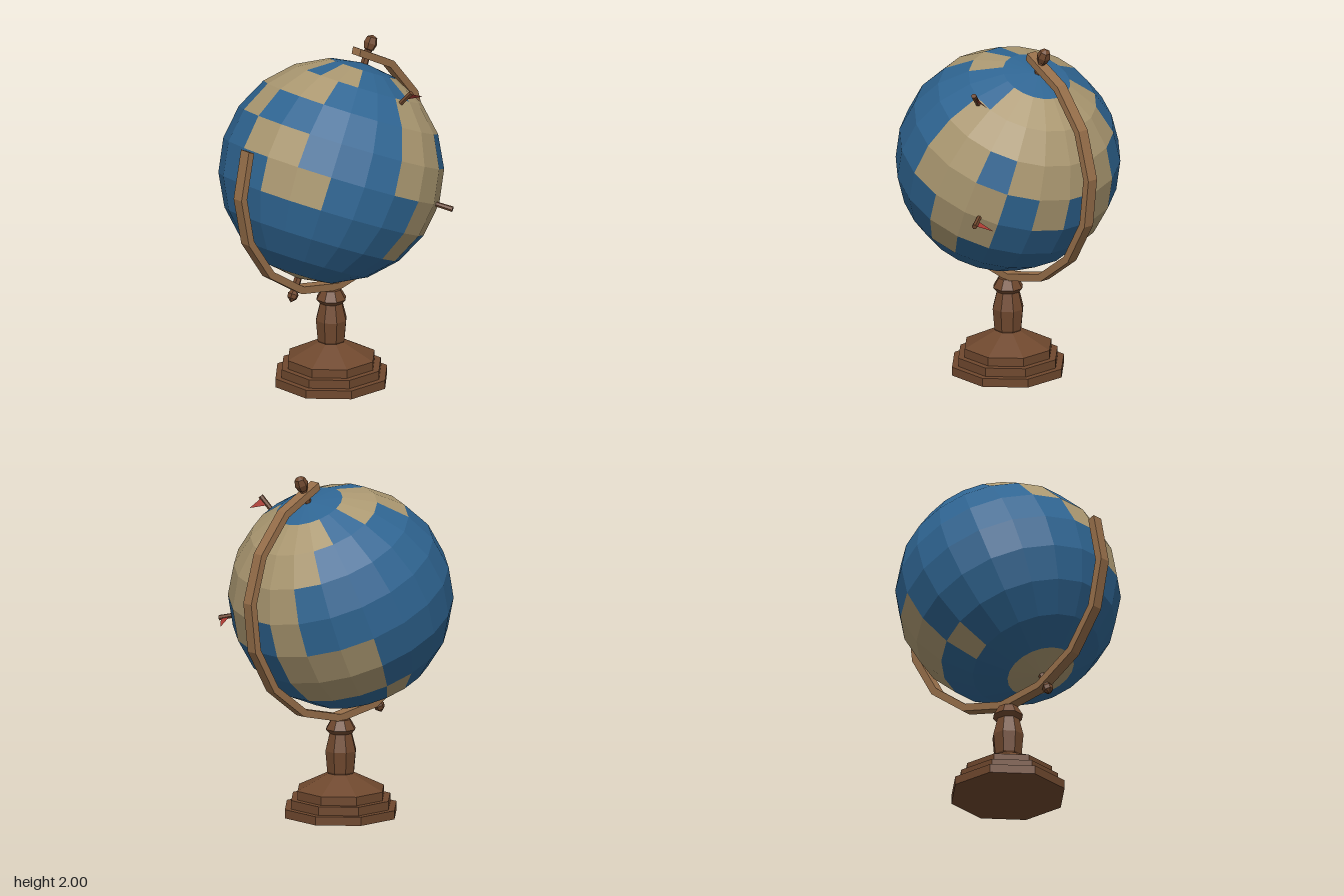
import * as THREE from 'three';

const mat = (name, color, side = THREE.FrontSide) => {
  const m = new THREE.MeshStandardMaterial({ color, side });
  m.name = name;
  return m;
};

// faceted normals
const flat = (geo) => {
  const g = geo.index ? geo.toNonIndexed() : geo;
  g.computeVertexNormals();
  return g;
};

const R = 0.638, CENTRE_Y = 1.26, TILT = THREE.MathUtils.degToRad(23.5);
const STEP = Math.PI / 10;

// land columns for each latitude band, north to south
const LAND = [
  [],
  [0, 1, 2, 3, 4, 8, 9, 11, 12, 13, 14, 17, 18, 19],
  [0, 1, 2, 3, 4, 5, 9, 10, 11, 12, 18, 19],
  [0, 1, 2, 4, 5, 11, 19],
  [1, 3, 4, 5, 9, 10, 19],
  [3, 4, 8, 9, 17, 18, 19],
  [4, 17, 18, 19],
  [16],
  [],
  Array.from({ length: 20 }, (_, i) => i),
];

// globe cells that are land (or sea), as flat quads
function globeCells(wantLand) {
  const pos = [];
  const point = (band, col) => {
    const t = band * STEP, p = (col - 0.5) * STEP;
    return [R * Math.sin(t) * Math.cos(p), R * Math.cos(t), R * Math.sin(t) * Math.sin(p)];
  };
  LAND.forEach((cols, b) => {
    for (let c = 0; c < 20; c++) {
      if (cols.includes(c) !== wantLand) continue;
      const a0 = point(b, c), a1 = point(b, c + 1);
      const b0 = point(b + 1, c), b1 = point(b + 1, c + 1);
      if (b > 0) pos.push(...a0, ...a1, ...b1);
      if (b < 9) pos.push(...a0, ...b1, ...b0);
    }
  });
  const g = new THREE.BufferGeometry();
  g.setAttribute('position', new THREE.Float32BufferAttribute(pos, 3));
  return flat(g);
}

// faceted turned part from [radius, height] pairs
const turned = (pts, sides, start = 0) =>
  flat(new THREE.LatheGeometry(pts.map(([r, y]) => new THREE.Vector2(r, y)), sides, start));

export function createModel() {
  const sea = mat('sea blue', 0x2f6592);
  const land = mat('land tan', 0xab9871);
  const brass = mat('arm wood', 0x976f4a);
  const wood = mat('dark wood', 0x6f482e);
  const red = mat('flag red', 0xa83a32, THREE.DoubleSide);

  const model = new THREE.Group();
  const add = (name, geo, material, parent = model) => {
    const mesh = new THREE.Mesh(geo, material);
    mesh.name = name;
    parent.add(mesh);
    return mesh;
  };

  // octagonal stepped base and column (half-widths across the flats)
  const k = 1 / Math.cos(Math.PI / 8);
  const profile = [
    [0, 0], [0.31, 0], [0.31, 0.05], [0.275, 0.05], [0.275, 0.1], [0.24, 0.1], [0.24, 0.15],
    [0.07, 0.24], [0.075, 0.25], [0.085, 0.37], [0.062, 0.47], [0.082, 0.495], [0.052, 0.55], [0, 0.55],
  ].map(([r, y]) => [r * k, y]);
  add('base', turned(profile, 8, Math.PI / 8), wood);

  // tilted globe with its axle
  const globe = new THREE.Group();
  globe.name = 'globe';
  globe.position.y = CENTRE_Y;
  globe.rotation.z = -TILT;
  model.add(globe);
  add('sea', globeCells(false), sea, globe);
  add('land', globeCells(true), land, globe);
  add('topFinial', turned([
    [0.022, 0.6], [0.022, 0.715], [0.03, 0.72], [0.04, 0.755], [0.03, 0.79], [0, 0.805],
  ], 6), wood, globe);
  add('bottomFinial', turned([
    [0.022, 0.6], [0.022, 0.715], [0.032, 0.73], [0.028, 0.755], [0, 0.78],
  ], 6), wood, globe).rotation.x = Math.PI;

  // open curved arm in twelve straight pieces
  const arc = new THREE.Shape();
  const from = 74, to = -203, n = 12;
  const put = (i, r) => {
    const a = THREE.MathUtils.degToRad(from + ((to - from) * i) / n);
    const x = r * Math.cos(a), y = r * Math.sin(a);
    if (i === 0 && r > 0.7) arc.moveTo(x, y); else arc.lineTo(x, y);
  };
  for (let i = 0; i <= n; i++) put(i, 0.718);
  for (let i = n; i >= 0; i--) put(i, 0.675);
  const armGeo = new THREE.ExtrudeGeometry(arc, { depth: 0.066, bevelEnabled: false });
  armGeo.translate(0, CENTRE_Y, -0.033);
  add('arm', flat(armGeo), brass);

  // marker flags standing out from the globe: foot and flag tip relative to its centre
  const markers = [
    { foot: [0.18, 0.47, 0.39], tip: [0.305, 0.485, 0.43] },
    { foot: [0.335, -0.145, 0.525], tip: [0.45, -0.195, 0.515] },
  ];
  for (const { foot, tip } of markers) {
    const marker = new THREE.Group();
    marker.name = 'marker';
    marker.position.y = CENTRE_Y;
    model.add(marker);
    const f = new THREE.Vector3(...foot), dir = f.clone().normalize();
    const pole = add('flagPole', flat(new THREE.CylinderGeometry(0.016, 0.014, 0.1, 6)), wood, marker);
    pole.position.copy(f).addScaledVector(dir, 0.04);
    pole.quaternion.setFromUnitVectors(new THREE.Vector3(0, 1, 0), dir);
    const flag = new THREE.BufferGeometry().setFromPoints([
      f.clone().addScaledVector(dir, 0.025), new THREE.Vector3(...tip), f.clone().addScaledVector(dir, 0.08),
    ]);
    add('flag', flat(flag), red, marker);
  }

  return model;
}
